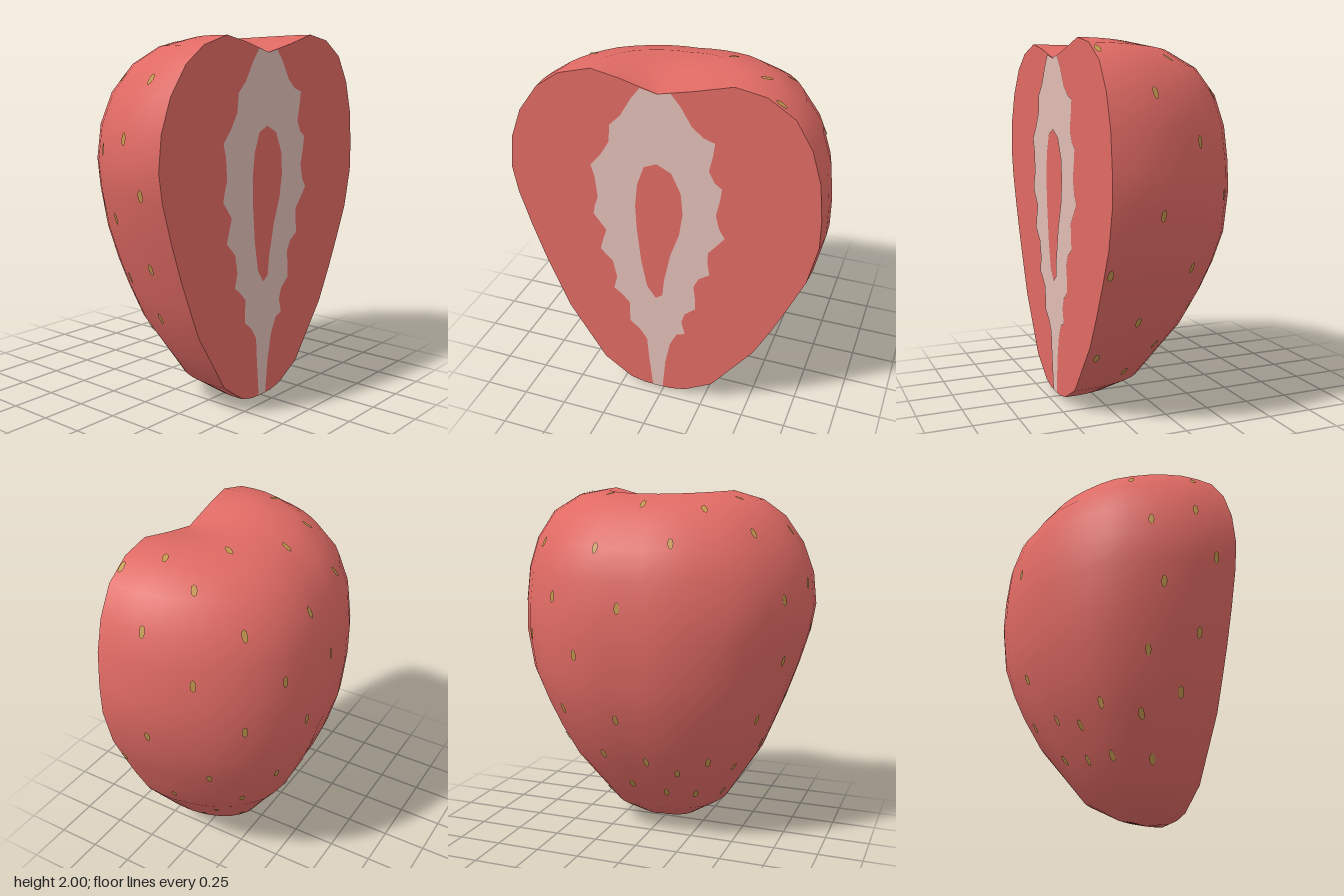
import * as THREE from 'three';

const CUT_Z = 0.45;

// Profile rows, bottom to top: left x, y | right x, y | back z, y
const ROWS = [
  [-0.03, 0.02, -0.03, 0.02, 0.45, 0.02],
  [0.05, 0.02, -0.11, 0.02, 0.33, 0.0],
  [0.14, 0.04, -0.2, 0.04, 0.15, 0.05],
  [0.3, 0.13, -0.36, 0.15, 0.0, 0.15],
  [0.42, 0.285, -0.465, 0.315, -0.1, 0.3],
  [0.54, 0.44, -0.57, 0.48, -0.22, 0.47],
  [0.64, 0.63, -0.64, 0.65, -0.31, 0.65],
  [0.72, 0.8, -0.7, 0.8, -0.37, 0.8],
  [0.8, 0.98, -0.77, 1.0, -0.42, 0.97],
  [0.85, 1.2, -0.83, 1.2, -0.445, 1.2],
  [0.85, 1.36, -0.855, 1.35, -0.44, 1.36],
  [0.83, 1.56, -0.835, 1.53, -0.42, 1.54],
  [0.78, 1.73, -0.77, 1.7, -0.37, 1.7],
  [0.69, 1.88, -0.66, 1.85, -0.27, 1.84],
  [0.55, 1.97, -0.53, 1.94, -0.13, 1.93],
  [0.39, 2.0, -0.35, 1.99, 0.05, 1.975],
  [0.2, 1.95, -0.2, 1.96, 0.22, 1.945],
  [0.0, 1.905, 0.0, 1.905, 0.45, 1.905],
];
// Uneven bulge around the half circle, one value every 15 degrees
const BULGE = [1, 1.036, 1.056, 1.075, 1.075, 1.04, 0.99, 1.0, 1.012, 1.04, 1.04, 1.038, 1];

const lerp = THREE.MathUtils.lerp;

// Point of the skin at an angle (0 = left edge, 90 = back, 180 = right edge) and row
function skinPoint(deg, row) {
  const i = Math.min(Math.floor(row), ROWS.length - 2);
  const [lx, ly, rx, ry, bz, by] = ROWS[i].map((n, k) => lerp(n, ROWS[i + 1][k], row - i));
  const j = Math.min(Math.floor(deg / 15), 11);
  const a = THREE.MathUtils.degToRad(deg), c = Math.cos(a), s = Math.sin(a);
  const y = lerp(c > 0 ? ly : ry, by, s * s);
  const m = lerp(BULGE[j], BULGE[j + 1], deg / 15 - j)
    + 0.07 * Math.sin(2 * a) ** 2 * Math.max(0, 1 - y / 1.2);
  return new THREE.Vector3(
    (lx + rx) / 2 + (lx - rx) / 2 * c * m, y, CUT_Z - (CUT_Z - bz) * s * m);
}

function skinGeometry(segments) {
  const pos = [], index = [], w = segments + 1;
  for (let i = 0; i < ROWS.length; i++)
    for (let j = 0; j <= segments; j++) pos.push(...skinPoint(j * 180 / segments, i).toArray());
  for (let i = 0; i < ROWS.length - 1; i++)
    for (let j = 0; j < segments; j++) {
      const a = i * w + j, b = a + 1, c = a + w, d = c + 1;
      if (i > 0) index.push(a, b, d);
      if (i < ROWS.length - 2) index.push(a, d, c);
      else index.push(a, b, c);
    }
  // close the bottom fan, whose upper edge is the first ring
  const g = new THREE.BufferGeometry();
  g.setAttribute('position', new THREE.Float32BufferAttribute(pos, 3));
  g.setIndex(index);
  g.computeVertexNormals();
  return g;
}

const toPoints = (n) => Array.from({ length: n.length / 2 },
  (_, i) => new THREE.Vector2(n[2 * i], n[2 * i + 1]));

// Wavy pale band on the cut face
const BAND = [
  0, 1.905, 0.07, 1.92, 0.12, 1.86, 0.18, 1.76, 0.24, 1.71, 0.3, 1.69, 0.29, 1.62, 0.27, 1.53,
  0.3, 1.47, 0.34, 1.44, 0.33, 1.37, 0.31, 1.28, 0.33, 1.2, 0.36, 1.15, 0.32, 1.1, 0.27, 1.04,
  0.27, 0.97, 0.28, 0.9, 0.22, 0.86, 0.19, 0.8, 0.2, 0.72, 0.2, 0.65, 0.14, 0.6, 0.12, 0.54,
  0.14, 0.46, 0.09, 0.44, 0.05, 0.36, 0.02, 0.22, 0, 0.02, -0.06, 0.02, -0.08, 0.22, -0.09, 0.36,
  -0.13, 0.42, -0.19, 0.47, -0.19, 0.6, -0.24, 0.65, -0.28, 0.68, -0.26, 0.76, -0.28, 0.86,
  -0.35, 0.93, -0.33, 1, -0.31, 1.06, -0.38, 1.15, -0.37, 1.2, -0.35, 1.26, -0.36, 1.38,
  -0.38, 1.45, -0.32, 1.52, -0.27, 1.6, -0.26, 1.7, -0.2, 1.76, -0.14, 1.86, -0.09, 1.925,
];
const CORE = [
  -0.01, 1.52, -0.08, 1.49, -0.12, 1.38, -0.135, 1.25, -0.13, 1.1, -0.11, 0.9, -0.08, 0.74,
  -0.03, 0.67, 0.01, 0.7, 0.02, 0.8, 0.06, 0.98, 0.11, 1.12, 0.13, 1.25, 0.12, 1.37, 0.07, 1.48,
];
// Seeds: angle in degrees, row
const SEEDS = [
  17, 12, 33, 10.65, 17, 8.75, 18, 5.65, 5, 4.5, 36, 4.6, 52, 3.6, 28, 3.6, 2, 7.3, 2, 13.6,
  35, 13.3, 50, 12, 21, 14.3, 58, 14.7, 92, 13.9, 78, 12, 108, 12.2, 125, 13.6, 143, 12.5,
  152, 14.2, 168, 12.5, 62, 10.4, 88, 10.2, 48, 9, 72, 8.7, 35, 7.2, 60, 7, 85, 6.8, 47, 5.7,
  72, 5.4, 95, 5.2, 112, 4.8, 128, 5.2, 145, 4.8, 80, 4.2, 104, 3.9, 125, 3.8, 148, 3.6,
  162, 5.4, 150, 6.6, 168, 7.2, 155, 8.4, 172, 9.2, 150, 10.4, 165, 10.8,
];

export function createModel() {
  const flesh = new THREE.MeshStandardMaterial({ name: 'berry red', color: 0xe06a64 });
  const pale = new THREE.MeshStandardMaterial({ name: 'pale pink', color: 0xe0bdb5 });
  const seedMat = new THREE.MeshStandardMaterial({ name: 'seed gold', color: 0xc3964e });
  const group = new THREE.Group();
  group.name = 'halfStrawberry';
  const add = (name, geometry, material, z = 0) => {
    const mesh = new THREE.Mesh(geometry, material);
    mesh.name = name;
    mesh.position.z = z;
    group.add(mesh);
    return mesh;
  };

  add('skin', skinGeometry(24), flesh);

  // Flat cut face following the edge of the skin
  const edge = [
    ...ROWS.map((r) => new THREE.Vector2(r[0], r[1])),
    ...ROWS.slice(1, -1).reverse().map((r) => new THREE.Vector2(r[2], r[3])),
  ];
  add('cutFace', new THREE.ShapeGeometry(new THREE.Shape(edge)), flesh, CUT_Z);

  // Pale band with the core left open
  const band = new THREE.Shape(toPoints(BAND));
  band.holes.push(new THREE.Path(toPoints(CORE)));
  add('paleBand', new THREE.ShapeGeometry(band), pale, CUT_Z + 0.003);

  // Seeds lie flat on the skin, long side up
  const seedGeometry = new THREE.CircleGeometry(1, 8).scale(0.016, 0.034, 1);
  const seeds = new THREE.Group();
  seeds.name = 'seeds';
  for (const { x: deg, y: row } of toPoints(SEEDS)) {
    const up = skinPoint(deg, row + 0.1).sub(skinPoint(deg, row - 0.1)).normalize();
    const around = skinPoint(Math.min(deg + 2, 180), row).sub(skinPoint(deg - 2 < 0 ? 0 : deg - 2, row));
    const normal = around.cross(up).normalize();
    const side = up.clone().cross(normal);
    const seed = new THREE.Mesh(seedGeometry, seedMat);
    seed.name = 'seed';
    seed.quaternion.setFromRotationMatrix(new THREE.Matrix4().makeBasis(side, up, normal));
    seed.position.copy(skinPoint(deg, row)).addScaledVector(normal, 0.006);
    seeds.add(seed);
  }
  group.add(seeds);
  return group;
}
